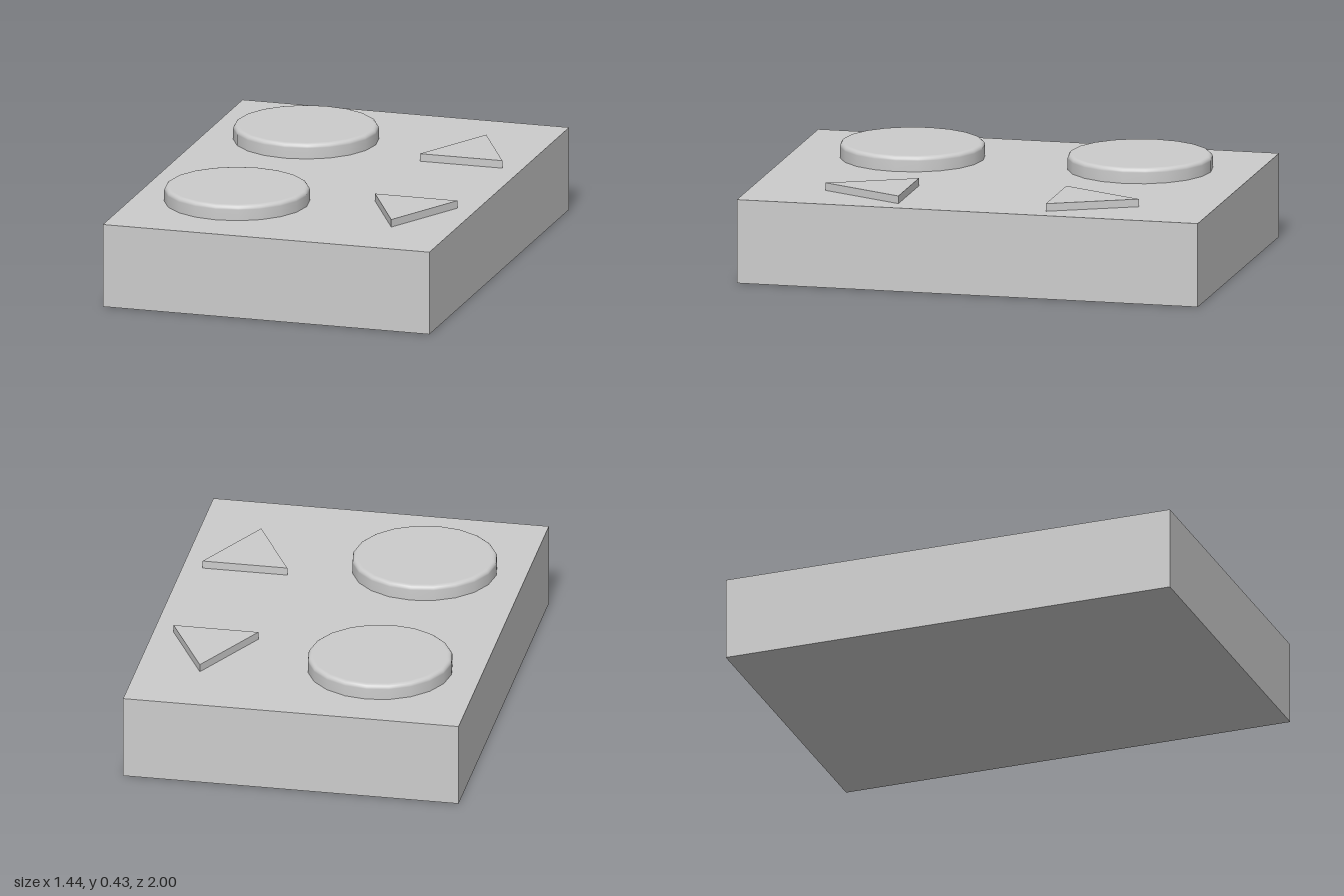
import * as THREE from 'three';

const TOP = 0.36; // height of the slab's upper face

export function createModel() {
  const group = new THREE.Group();
  const material = new THREE.MeshStandardMaterial({ color: 0xcccccc });

  function add(name, geometry, x, y, z) {
    const mesh = new THREE.Mesh(geometry, material);
    mesh.name = name;
    mesh.position.set(x, y, z);
    group.add(mesh);
    return mesh;
  }

  // Slab body
  add('panelBody', new THREE.BoxGeometry(1.44, TOP, 2), 0, TOP / 2, 0);

  // Round buttons: straight wall, softly rounded rim, flat cap
  const radius = 0.307, height = 0.065, bevel = 0.018;
  const profile = [new THREE.Vector2(radius, 0)];
  for (let i = 0; i <= 4; i++) {
    const a = (i / 4) * Math.PI / 2;
    profile.push(new THREE.Vector2(
      radius - bevel + bevel * Math.cos(a),
      height - bevel + bevel * Math.sin(a)));
  }
  profile.push(new THREE.Vector2(radius - bevel - 0.005, height), new THREE.Vector2(0, height));
  const button = new THREE.LatheGeometry(profile, 20);
  add('backRoundButton', button, -0.287, TOP, -0.503);
  add('frontRoundButton', button, -0.287, TOP, 0.485);

  // Raised arrows, pointing to the back and to the front
  const triangle = new THREE.Shape([
    new THREE.Vector2(-0.182, -0.18),
    new THREE.Vector2(0.182, -0.18),
    new THREE.Vector2(0, 0.18),
  ]);
  const arrow = new THREE.ExtrudeGeometry(triangle, { depth: 0.033, bevelEnabled: false });
  arrow.rotateX(-Math.PI / 2);
  add('backArrow', arrow, 0.453, TOP, -0.5);
  add('frontArrow', arrow, 0.453, TOP, 0.5).rotation.y = Math.PI;

  return group;
}
